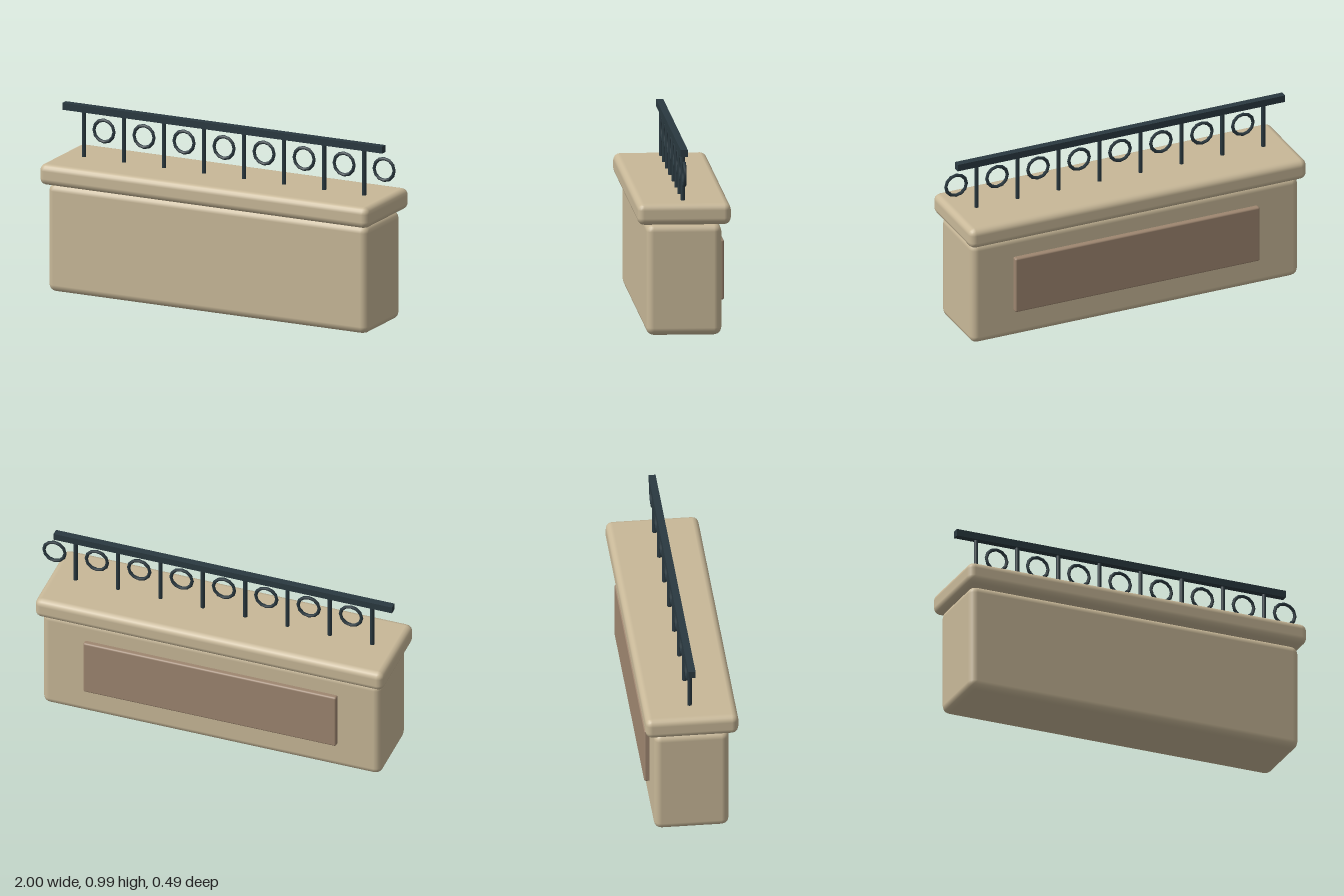
import * as THREE from 'three';
import { RoundedBoxGeometry } from 'three/addons/geometries/RoundedBoxGeometry.js';

export function createModel() {
  const model = new THREE.Group();
  model.name = 'balustradeWall';

  const stone = new THREE.MeshStandardMaterial({ color: 0xc8b898 });
  stone.name = 'sandstone';
  const panelStone = new THREE.MeshStandardMaterial({ color: 0x9e8670 });
  panelStone.name = 'brown panel';
  const iron = new THREE.MeshStandardMaterial({ color: 0x2a3940 });
  iron.name = 'dark iron';

  const add = (name, geometry, material, x, y, z = 0) => {
    const mesh = new THREE.Mesh(geometry, material);
    mesh.name = name;
    mesh.position.set(x, y, z);
    model.add(mesh);
  };

  // The masonry sits slightly off centre because the last ring overhangs.
  const cx = -0.022;

  // Wall, coping and raised back panel
  add('wallBody', new RoundedBoxGeometry(1.9, 0.592, 0.398, 2, 0.04), stone, cx, 0.296);
  add('coping', new RoundedBoxGeometry(1.956, 0.114, 0.494, 2, 0.036), stone, cx, 0.649);
  add('backPanel', new RoundedBoxGeometry(1.42, 0.32, 0.056, 2, 0.01), panelStone, cx, 0.315, -0.199);

  // Handrail
  add('handrail', new THREE.BoxGeometry(1.9, 0.038, 0.038), iron, cx, 0.971);

  // Posts, each followed by a ring
  const postGeometry = new THREE.CylinderGeometry(0.012, 0.012, 0.27, 8);
  const ringGeometry = new THREE.TorusGeometry(0.0595, 0.0095, 6, 12);
  const spacing = 0.2378;
  for (let i = 0; i < 8; i++) {
    const x = -0.854 + i * spacing;
    add('railPost', postGeometry, iron, x, 0.825);
    add('railRing', ringGeometry, iron, x + spacing / 2, 0.861);
  }
  return model;
}
